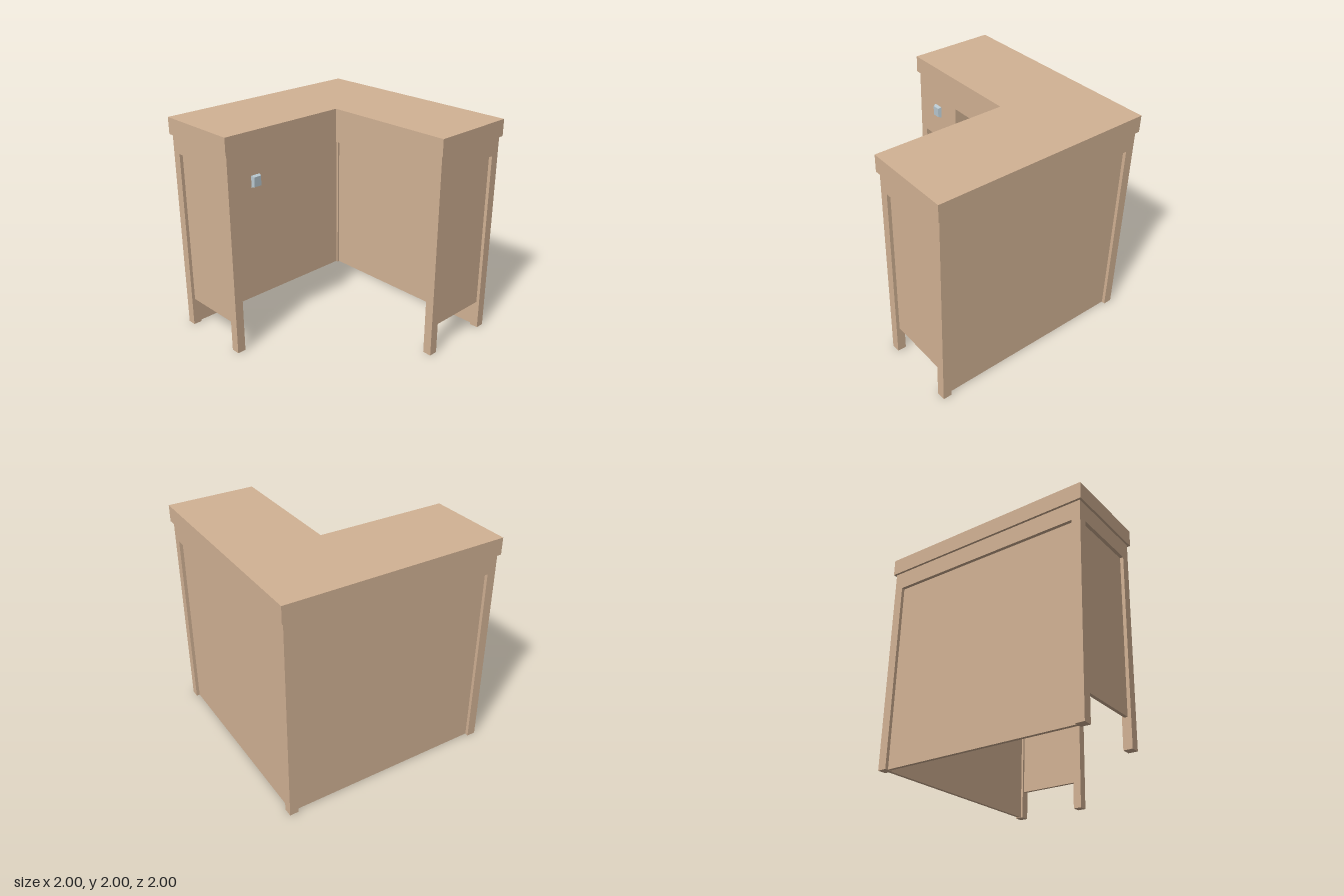
import * as THREE from 'three';

const wood = new THREE.MeshStandardMaterial({ color: 0xd2b294 });
const metal = new THREE.MeshStandardMaterial({ color: 0xb8c8d0 });

export function createModel() {
  const model = new THREE.Group();
  model.name = 'cornerDesk';

  const add = (name, geometry, material = wood) => {
    const mesh = new THREE.Mesh(geometry, material);
    mesh.name = name;
    model.add(mesh);
    return mesh;
  };

  // Box given by its lower and upper limits on each axis
  const box = (name, [x0, x1], [y0, y1], [z0, z1]) =>
    add(name, new THREE.BoxGeometry(x1 - x0, y1 - y0, z1 - z0)
      .translate((x0 + x1) / 2, (y0 + y1) / 2, (z0 + z1) / 2));

  // L-shaped plan, inset by d (shape y is -z)
  const plan = (d) => [
    [-1 + d, 0.2 + d], [0.2 + d, 0.2 + d], [0.2 + d, -1 + d],
    [1 - d, -1 + d], [1 - d, 1 - d], [-1 + d, 1 - d],
  ].map(([x, y]) => new THREE.Vector2(x, y));

  const slab = (shape, y0, y1) =>
    new THREE.ExtrudeGeometry(shape, { depth: y1 - y0, bevelEnabled: false })
      .rotateX(-Math.PI / 2).translate(0, y0, 0);

  // Worktop
  add('worktop', slab(new THREE.Shape(plan(0)), 1.85, 2));

  // Rail running round under the worktop
  const rail = new THREE.Shape(plan(0.02));
  rail.holes.push(new THREE.Path(plan(0.1)));
  add('rail', slab(rail, 1.69, 1.85));

  // Legs at the outer corners; the inner corner is open
  for (const [x, z] of [[-0.94, -0.94], [0.94, -0.94], [0.94, 0.94], [0.26, 0.94], [-0.94, -0.26]]) {
    box('leg', [x - 0.04, x + 0.04], [0, 1.69], [z - 0.04, z + 0.04]);
  }

  // Recessed panels: full height outside, raised on the two ends
  box('backPanel', [-0.9, 0.9], [0.003, 1.69], [-0.95, -0.92]);
  box('sidePanel', [0.92, 0.95], [0.003, 1.69], [-0.9, 0.9]);
  box('frontEndPanel', [0.3, 0.9], [0.26, 1.69], [0.92, 0.95]);
  box('rightEndPanel', [-0.95, -0.92], [0.26, 1.69], [-0.9, -0.3]);

  // Drawer under the rail, flush with the leg
  box('drawer', [-0.9, -0.44], [1.28, 1.69], [-0.92, -0.22]);

  // Drawer knob: a block tapering slightly to the front
  const knob = new THREE.BoxGeometry(0.09, 0.105, 0.03);
  const p = knob.attributes.position;
  for (let i = 0; i < p.count; i++) {
    if (p.getZ(i) > 0) p.setXY(i, p.getX(i) * 0.78, p.getY(i) * 0.82);
  }
  knob.computeVertexNormals();
  add('drawerKnob', knob, metal).position.set(-0.7, 1.562, -0.205);

  return model;
}
